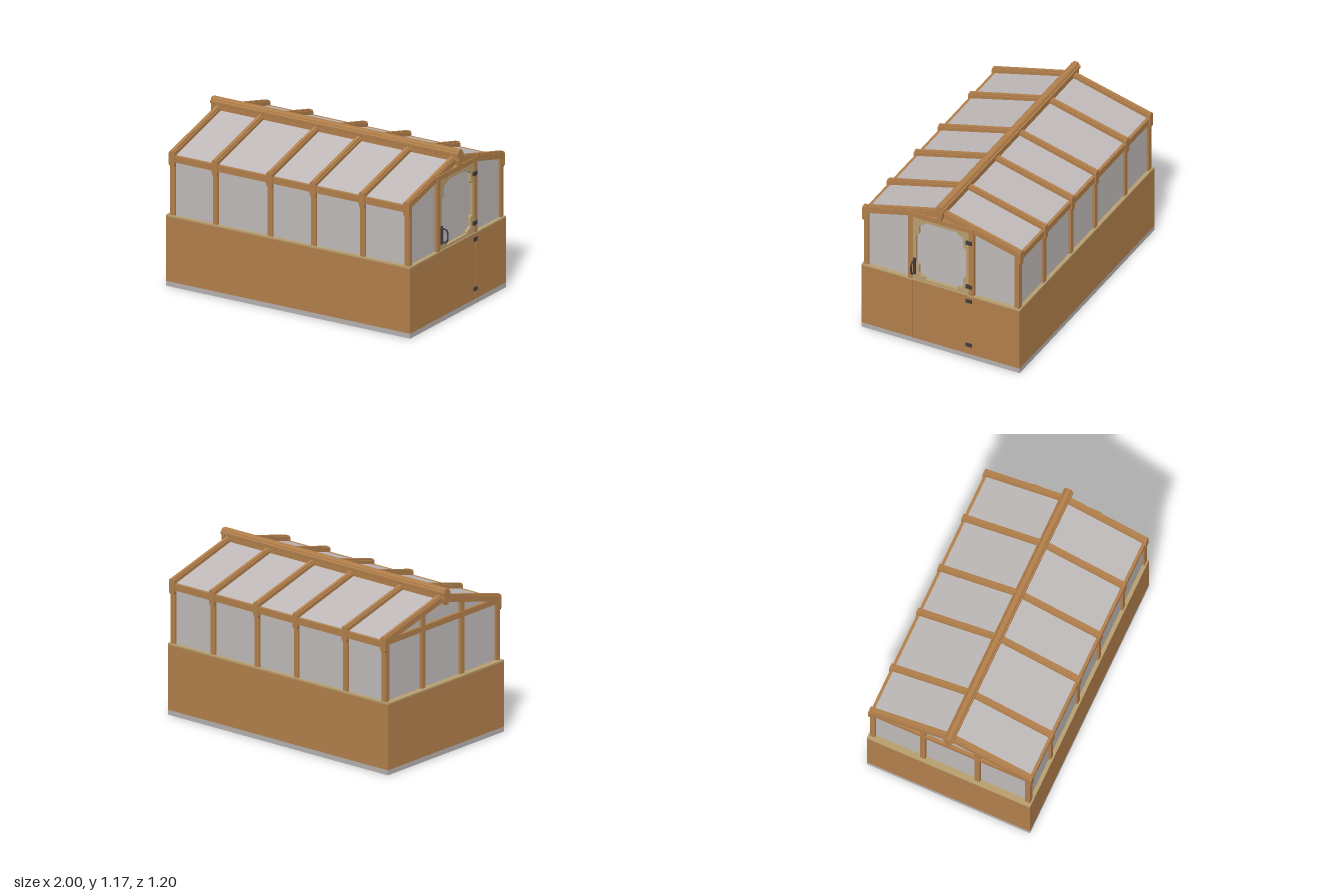
import * as THREE from 'three';

const mat = (name, color) => {
  const m = new THREE.MeshStandardMaterial({ color });
  m.name = name;
  return m;
};

export function createModel() {
  const wood = mat('wood', 0xb27f4b);
  const paleWood = mat('paleWood', 0xb89f70);
  const glass = mat('frostedGlass', 0xbfbab9);
  const stone = mat('stone', 0xb5b1b0);
  const iron = mat('iron', 0x3a3c3f);

  const root = new THREE.Group();
  root.name = 'greenhouse';

  const add = (name, geo, material) => {
    const m = new THREE.Mesh(geo, material);
    m.name = name;
    root.add(m);
    return m;
  };
  // Box given by its lower and upper limits
  const box = (name, material, x0, x1, y0, y1, z0, z1) => {
    const g = new THREE.BoxGeometry(x1 - x0, y1 - y0, z1 - z0);
    g.translate((x0 + x1) / 2, (y0 + y1) / 2, (z0 + z1) / 2);
    return add(name, g, material);
  };
  const toShape = (pts) => new THREE.Shape(pts.map(([z, y]) => new THREE.Vector2(z, y)));
  // Outline in (z, y) extruded along x
  const extrudeX = (name, material, shape, x0, x1) => {
    const g = new THREE.ExtrudeGeometry(shape, { depth: x1 - x0, bevelEnabled: false, curveSegments: 6 });
    g.rotateY(-Math.PI / 2).translate(x1, 0, 0);
    return add(name, g, material);
  };
  // Half outline (z >= 0, bottom to top) mirrored into a full one
  const mirrored = (half) => toShape([...half, ...half.slice().reverse().filter((p) => p[0] > 0).map(([z, y]) => [-z, y])]);

  // Base, lower walls and sill
  box('baseSlab', stone, -0.99, 0.95, 0, 0.035, -0.6, 0.6);
  box('lowerWall', wood, -0.99, 0.95, 0.035, 0.497, -0.6, 0.6);
  box('sill', paleWood, -0.99, 0.95, 0.497, 0.508, -0.6, 0.6);

  // Glazed body with a gabled top
  extrudeX('glazing', glass, mirrored([[0.573, 0.5], [0.573, 0.938], [0, 1.09]]), -0.945, 0.92);

  // Frames: posts, eave brackets and rafters
  const frames = [-0.945, -0.605, -0.17, 0.175, 0.565, 0.918];
  const chevron = (top, low, z) => toShape([[z, top - z * 0.255], [0, top], [-z, top - z * 0.255],
    [-z, low - z * 0.255], [0, low], [z, low - z * 0.255]].reverse());
  for (const x of frames) {
    extrudeX('rafter', wood, chevron(1.112, 1.068, 0.597), x - 0.022, x + 0.022);
    extrudeX('rafterCap', wood, chevron(1.121, 1.108, 0.597), x - 0.012, x + 0.012);
    for (const s of [-1, 1]) {
      const [a, b] = s > 0 ? [0.553, 0.589] : [-0.589, -0.553];
      box('sidePost', wood, x - 0.019, x + 0.019, 0.508, 0.95, a, b);
      // Bracket outline in (x, y) with clipped corners
      const w = 0.023;
      const g = new THREE.ExtrudeGeometry(toShape([[x - w + 0.007, 0.86], [x + w - 0.007, 0.86], [x + w, 0.875],
        [x + w, 0.955], [x + w - 0.007, 0.967], [x - w + 0.007, 0.967], [x - w, 0.955], [x - w, 0.875]]),
      { depth: 0.018, bevelEnabled: false });
      g.translate(0, 0, s > 0 ? 0.582 : -0.6);
      add('eaveBracket', g, wood);
    }
  }

  // Eave beams
  for (const s of [-1, 1]) {
    const [a, b] = s > 0 ? [0.565, 0.594] : [-0.594, -0.565];
    box('eaveBeam', wood, -0.965, 0.938, 0.89, 0.936, a, b);
  }

  // Ridge beam, moulded cap and end pendants
  box('ridgeBeam', wood, -0.985, 0.955, 1.08, 1.13, -0.02, 0.02);
  extrudeX('ridgeCap', wood, mirrored([[0.022, 1.122], [0.034, 1.128], [0.034, 1.146], [0.024, 1.15],
    [0.022, 1.16], [0.014, 1.168]]), -1, 0.97);
  for (const x of [-1, 0.942]) {
    extrudeX('ridgePendant', wood, mirrored([[0.014, 1.055], [0.022, 1.09], [0.024, 1.15], [0.014, 1.165]]), x, x + 0.028);
  }

  // Door end: posts, header and lower panel
  for (const s of [-1, 1]) {
    box('doorPost', wood, 0.9, 0.947, 0.5, 1.04, s > 0 ? 0.212 : -0.25, s > 0 ? 0.25 : -0.212);
    box('doorEdgeStrip', wood, 0.945, 0.953, 0.035, 0.5, s * 0.213 - 0.003, s * 0.213 + 0.003);
  }
  box('doorHeader', wood, 0.9, 0.948, 1.008, 1.045, -0.25, 0.25);
  box('doorPanel', wood, 0.945, 0.952, 0.038, 0.503, -0.209, 0.209);

  // Door window frame with stepped, rounded corners
  const frame = toShape([[-0.212, 0.504], [0.212, 0.504], [0.212, 1.004], [-0.212, 1.004]]);
  const hole = new THREE.Path();
  const cy = 0.755, hw = 0.19, hh = 0.23;
  const corner = (sz, sy, flip) => {
    const p = [[hw, hh - 0.115], [hw - 0.012, hh - 0.115], [hw - 0.022, hh - 0.105], [hw - 0.022, hh - 0.04],
      [hw - 0.04, hh - 0.022], [hw - 0.055, hh - 0.022], [hw - 0.065, hh - 0.012], [hw - 0.065, hh]];
    if (flip) p.reverse();
    return p.map(([z, y]) => new THREE.Vector2(sz * z, cy + sy * y));
  };
  hole.setFromPoints([...corner(1, 1, false), ...corner(-1, 1, true), ...corner(-1, -1, false), ...corner(1, -1, true)]);
  hole.closePath();
  frame.holes.push(hole);
  extrudeX('doorWindowFrame', paleWood, frame, 0.915, 0.944);

  // Hinges
  for (const y of [0.93, 0.577, 0.462, 0.108]) {
    box('hinge', iron, 0.935, 0.955, y - 0.014, y + 0.014, -0.238, -0.192);
  }

  // Door handle
  const path = new THREE.CatmullRomCurve3([[0.94, 0.66], [0.975, 0.662], [0.992, 0.648], [0.995, 0.615],
    [0.992, 0.582], [0.975, 0.568], [0.94, 0.57]].map(([x, y]) => new THREE.Vector3(x, y, 0.2)));
  add('handle', new THREE.TubeGeometry(path, 24, 0.006, 8), iron);
  box('handlePlate', iron, 0.94, 0.952, 0.55, 0.68, 0.191, 0.209);

  // Plain end: tie beam and posts
  box('tieBeam', wood, -0.967, -0.925, 0.91, 0.95, -0.585, 0.585);
  for (const z of [-0.2, 0.2]) {
    box('gablePost', wood, -0.966, -0.925, 0.5, 1.03, z - 0.019, z + 0.019);
  }

  return root;
}
